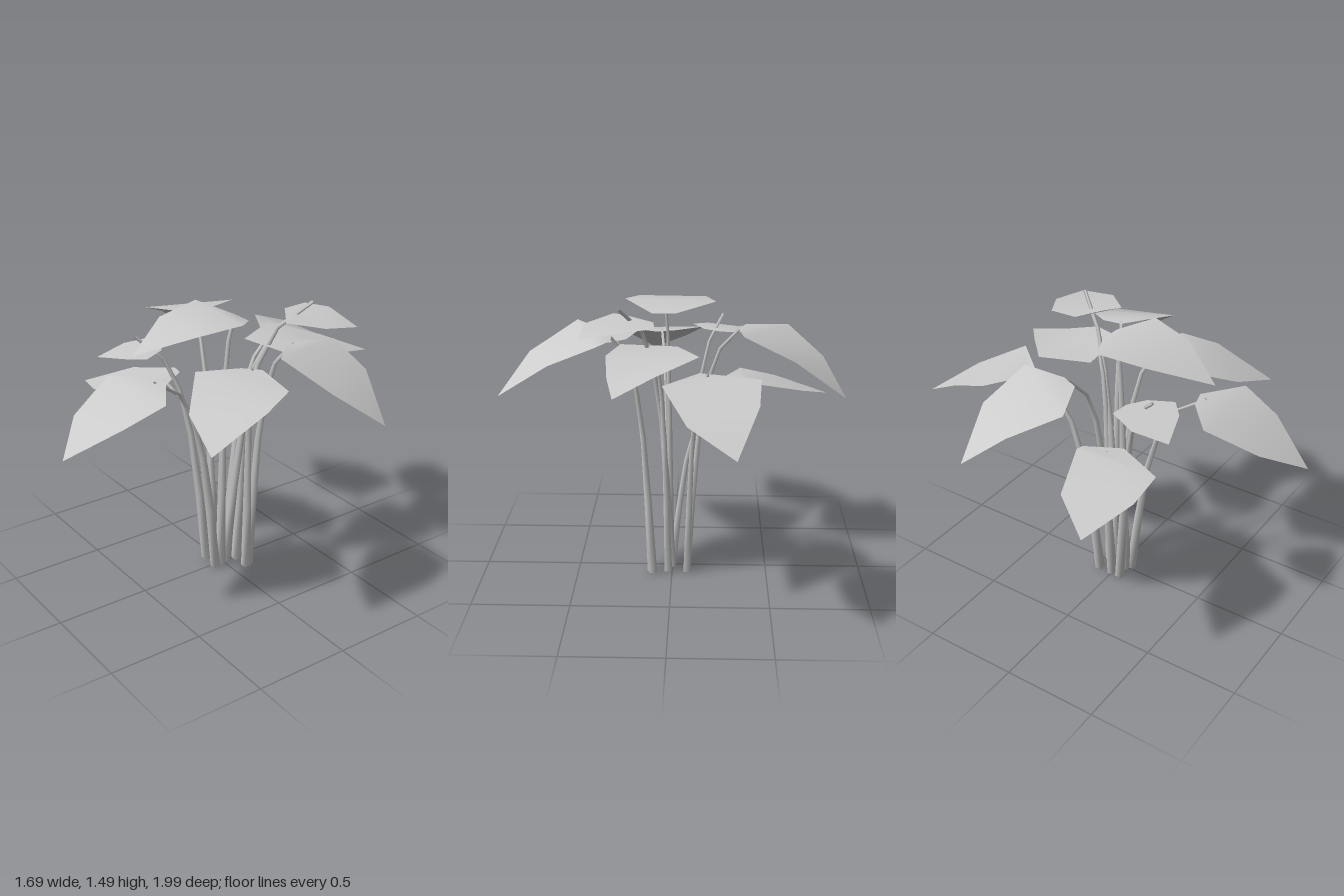
import * as THREE from 'three';

const material = new THREE.MeshStandardMaterial({ color: 0xcccccc, side: THREE.DoubleSide });

function meshFrom(points, index, name) {
  const geo = new THREE.BufferGeometry();
  geo.setAttribute('position', new THREE.Float32BufferAttribute(points.flat(), 3));
  geo.setIndex(index);
  geo.computeVertexNormals();
  const mesh = new THREE.Mesh(geo, material);
  mesh.name = name;
  return mesh;
}

// Blade: three left/right pairs from the base outwards, then the tip
function makeLeaf(points) {
  const [a, b] = [0, 2].map(i => new THREE.Vector3(...points[i + 1]).sub(new THREE.Vector3(...points[i])));
  const along = new THREE.Vector3(...points[6]).sub(new THREE.Vector3(...points[0]));
  const up = b.add(a).cross(along).y > 0;
  const index = [];
  const tri = (i, j, k) => index.push(...(up ? [i, j, k] : [i, k, j]));
  for (let r = 0; r < 4; r += 2) {
    tri(r, r + 1, r + 3);
    tri(r, r + 3, r + 2);
  }
  tri(4, 5, 6);
  return meshFrom(points, index, 'leaf');
}

// Stalk: tapered square tube that rises steeply, then bends out to the leaf
const BEND = [[0, 0], [0.3, 0.1], [0.58, 0.22], [0.78, 0.38], [0.91, 0.6], [1, 1]]; // [height, reach]
function makeStem([bx, bz], end) {
  const y0 = 0.008, sides = 4;
  const path = BEND.map(([h, r]) => new THREE.Vector3(
    bx + (end[0] - bx) * r, y0 + (end[1] - y0) * h, bz + (end[2] - bz) * r));
  const points = [], index = [];
  path.forEach((p, i) => {
    const dir = path[Math.min(i + 1, path.length - 1)].clone().sub(path[Math.max(i - 1, 0)]).normalize();
    const turn = new THREE.Quaternion().setFromUnitVectors(new THREE.Vector3(0, 1, 0), dir);
    const radius = 0.027 - 0.018 * BEND[i][0];
    for (let s = 0; s < sides; s++) {
      const a = (s + 0.5) / sides * Math.PI * 2;
      const v = new THREE.Vector3(Math.cos(a) * radius, 0, Math.sin(a) * radius).applyQuaternion(turn).add(p);
      points.push(v.toArray());
      if (i) {
        const n = (s + 1) % sides, q = (i - 1) * sides, t = i * sides;
        index.push(q + s, t + s, q + n, q + n, t + s, t + n);
      }
    }
  });
  const last = (path.length - 1) * sides;
  index.push(0, 1, 2, 0, 2, 3, last, last + 2, last + 1, last, last + 3, last + 2);
  return meshFrom(points, index, 'stem');
}

// Each plant part: stalk foot [x, z], stalk end, and the seven leaf corners
const FRONDS = {
  backLeft: { foot: [-0.08, -0.08], end: [-0.18, 1.2, -0.46], leaf: [
    [-0.22, 1.19, -0.42], [-0.14, 1.2, -0.43], [-0.43, 1.2, -0.53], [0.03, 1.19, -0.62],
    [-0.415, 1.13, -0.73], [-0.09, 1.07, -0.85], [-0.31, 0.965, -1]] },
  front: { foot: [0.02, 0.06], end: [0.07, 1.2, 0.45], leaf: [
    [0, 1.2, 0.43], [0.1, 1.2, 0.4], [-0.16, 1.19, 0.57], [0.31, 1.19, 0.54],
    [-0.06, 1.08, 0.82], [0.27, 1.11, 0.74], [0.13, 0.965, 0.99]] },
  backRight: { foot: [0.1, -0.1], end: [0.31, 1.33, -0.2], leaf: [
    [0.29, 1.32, -0.3], [0.29, 1.33, -0.19], [0.35, 1.32, -0.43], [0.48, 1.355, 0.01],
    [0.58, 1.23, -0.44], [0.71, 1.22, -0.12], [0.84, 1.05, -0.34]] },
  frontRight: { foot: [0.11, -0.08], end: [0.29, 1.24, 0.03], leaf: [
    [0.24, 1.24, 0.06], [0.32, 1.24, -0.01], [0.17, 1.25, 0.28], [0.56, 1.22, 0.02],
    [0.38, 1.15, 0.46], [0.63, 1.18, 0.2], [0.645, 1.055, 0.52]] },
  left: { foot: [-0.08, 0.0], end: [-0.35, 1.34, -0.06], leaf: [
    [-0.33, 1.34, -0.1], [-0.37, 1.34, -0.01], [-0.35, 1.35, -0.32], [-0.59, 1.32, 0.08],
    [-0.6, 1.24, -0.385], [-0.75, 1.21, -0.13], [-0.85, 1.05, -0.33]] },
  lowLeft: { foot: [0, 0.04], end: [-0.33, 1, 0.14], leaf: [
    [-0.36, 1.01, 0.02], [-0.255, 1, 0.19], [-0.41, 1.02, 0.02], [-0.36, 0.99, 0.44],
    [-0.68, 0.955, 0.12], [-0.55, 0.95, 0.44], [-0.83, 0.88, 0.34]] },
  smallLeft: { foot: [-0.08, 0.05], end: [-0.26, 1.31, 0.35], leaf: [
    [-0.25, 1.25, 0.2], [-0.16, 1.25, 0.26], [-0.35, 1.25, 0.19], [-0.1, 1.25, 0.38],
    [-0.405, 1.23, 0.33], [-0.18, 1.24, 0.45], [-0.37, 1.205, 0.51]] },
  smallRight: { foot: [0, -0.02], end: [0.24, 1.49, -0.38], leaf: [
    [0.08, 1.42, -0.33], [0.2, 1.43, -0.24], [0.07, 1.42, -0.47], [0.28, 1.43, -0.18],
    [0.19, 1.42, -0.53], [0.41, 1.41, -0.32], [0.42, 1.38, -0.52]] },
  midBack: { foot: [0.02, -0.08], end: [0.1, 1.26, -0.2], leaf: [
    [-0.03, 1.26, -0.16], [0.25, 1.275, -0.18], [-0.14, 1.27, -0.4], [0.31, 1.26, -0.35],
    [0.07, 1.22, -0.59], [0.29, 1.2, -0.54], [0.25, 1.16, -0.74]] },
  topCentre: { foot: [0.01, 0.02], end: [0.03, 1.42, -0.05], leaf: [
    [-0.02, 1.41, -0.09], [0.1, 1.41, -0.09], [-0.22, 1.45, 0.01], [0.24, 1.455, 0.05],
    [-0.17, 1.425, 0.26], [0.18, 1.425, 0.28], [0.01, 1.335, 0.53]] },
};

export function createModel() {
  const plant = new THREE.Group();
  plant.name = 'leafyPlant';
  for (const [name, { foot, end, leaf }] of Object.entries(FRONDS)) {
    const frond = new THREE.Group();
    frond.name = name + 'Frond';
    frond.add(makeStem(foot, end), makeLeaf(leaf));
    plant.add(frond);
  }
  return plant;
}
